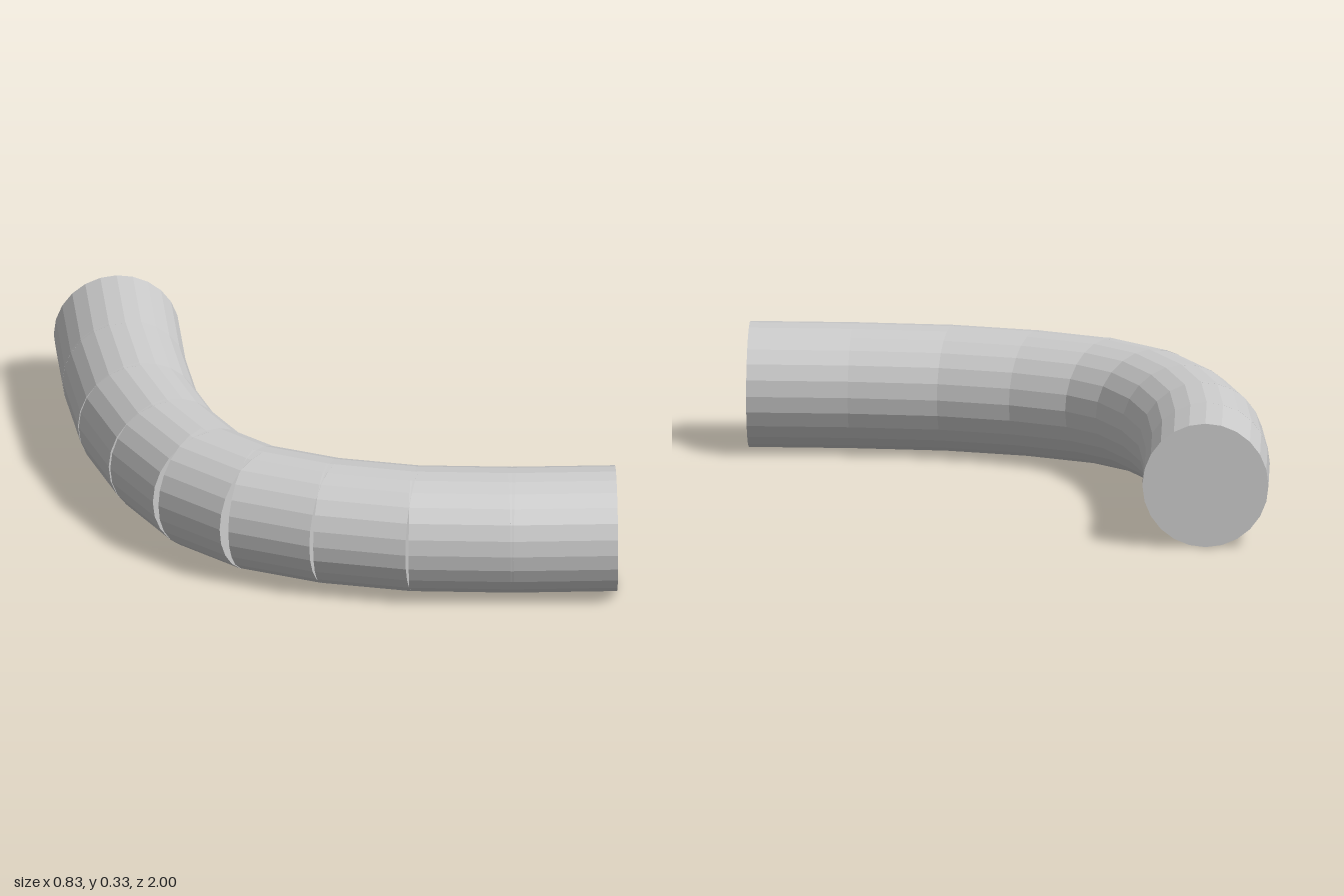
import * as THREE from 'three';

const RADIUS = 0.167, SIDES = 24, OVERLAP = 0.01;

// Joints of one arm on the centre line: [x, z]
const JOINTS = [[-0.249, 0.088], [-0.179, 0.288], [-0.065, 0.487], [0.1, 0.686], [0.29, 0.885]];

export function createModel() {
  const group = new THREE.Group();
  group.name = 'bentPipe';
  const material = new THREE.MeshStandardMaterial({ color: 0xcccccc, flatShading: true });

  // Straight capped cylinder between two points, lengthened at each end
  function addSegment(name, [x0, z0], [x1, z1], startExtra, endExtra) {
    const a = new THREE.Vector3(x0, 0.17, z0);
    const b = new THREE.Vector3(x1, 0.17, z1);
    const dir = b.clone().sub(a).normalize();
    a.addScaledVector(dir, -startExtra);
    b.addScaledVector(dir, endExtra);
    const geometry = new THREE.CylinderGeometry(RADIUS, RADIUS, a.distanceTo(b), SIDES);
    geometry.rotateX(Math.PI / 2);
    const mesh = new THREE.Mesh(geometry, material);
    mesh.name = name;
    mesh.position.copy(a).add(b).multiplyScalar(0.5);
    mesh.rotation.y = Math.atan2(dir.x, dir.z);
    group.add(mesh);
  }

  // Middle of the bend
  addSegment('middleSegment', [-0.249, -0.1085], [-0.249, 0.1085], 0, 0);

  // Front and back arms, mirrored in z
  for (const [side, s] of [['front', 1], ['back', -1]]) {
    for (let i = 0; i < JOINTS.length - 1; i++) {
      const [x0, z0] = JOINTS[i], [x1, z1] = JOINTS[i + 1];
      const last = i === JOINTS.length - 2;
      addSegment(`${side}Segment${i + 1}`, [x0, s * z0], [x1, s * z1], OVERLAP, last ? 0 : OVERLAP);
    }
  }
  return group;
}
